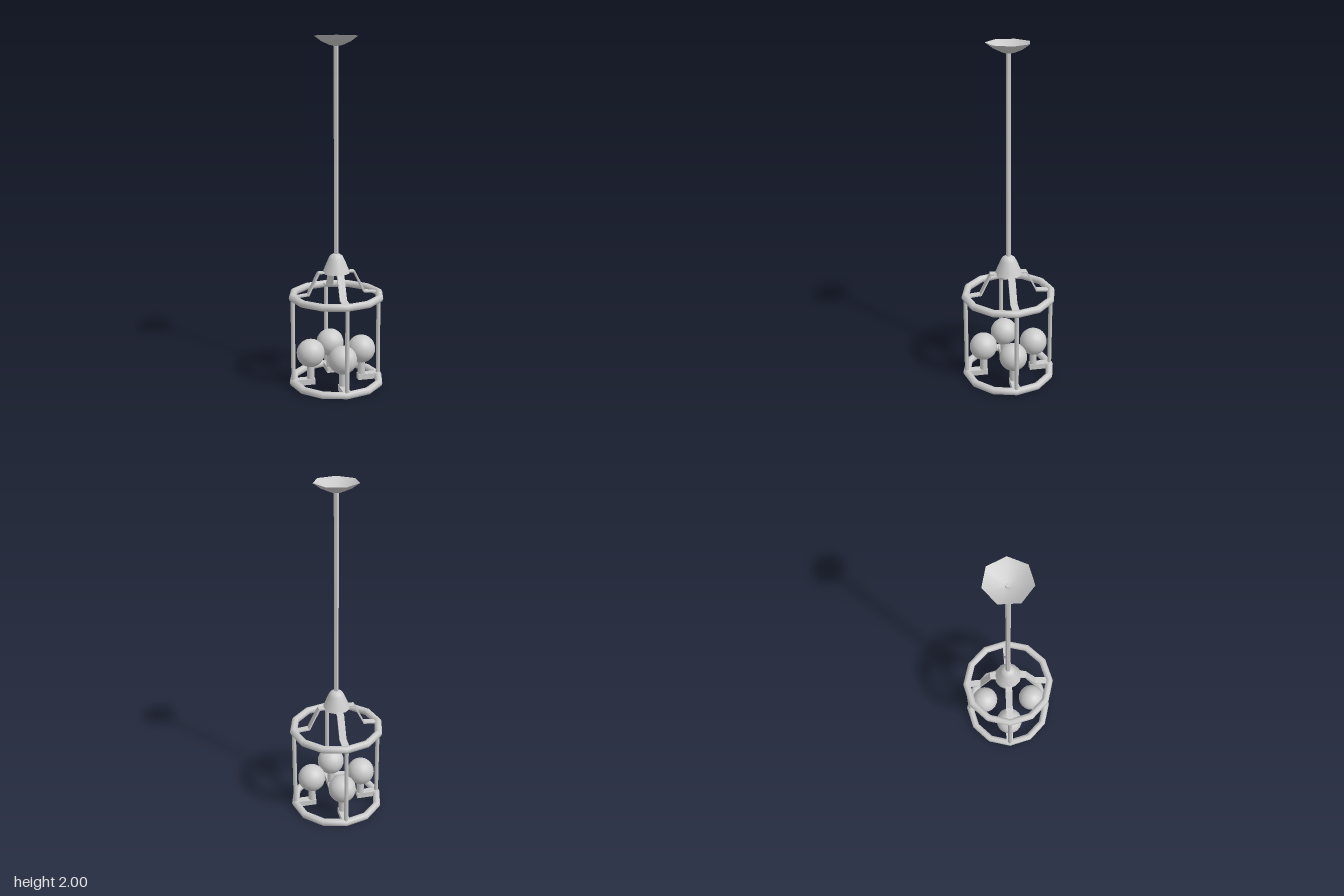
import * as THREE from 'three';

const metal = new THREE.MeshStandardMaterial({ color: 0xcccccc });
const metalFlat = new THREE.MeshStandardMaterial({ color: 0xcccccc, flatShading: true });
const metalThin = new THREE.MeshStandardMaterial({ color: 0xcccccc, side: THREE.DoubleSide });

function part(name, geometry, material, x = 0, y = 0, z = 0) {
  const mesh = new THREE.Mesh(geometry, material);
  mesh.name = name;
  mesh.position.set(x, y, z);
  return mesh;
}

const points = (pairs) => pairs.map(([x, y]) => new THREE.Vector2(x, y));

// Bent metal strap: a side outline extruded across its width
function strapGeometry(width) {
  const outline = points([
    [0.05, 0.678], [0.108, 0.678], [0.17, 0.553], [0.25, 0.545],
    [0.25, 0.537], [0.163, 0.545], [0.102, 0.67], [0.05, 0.67],
  ]);
  const geometry = new THREE.ExtrudeGeometry(new THREE.Shape(outline), { depth: width, bevelEnabled: false });
  return geometry.translate(0, 0, -width / 2);
}

export function createModel() {
  const model = new THREE.Group();
  model.name = 'pendantLamp';

  // Seven-sided ceiling bowl, open on top
  const bowl = points([[0.001, 1.941], [0.04, 1.951], [0.083, 1.97], [0.125, 2]]);
  model.add(part('ceilingCanopy', new THREE.LatheGeometry(bowl, 7, Math.PI / 2), metalThin));

  // Hanging stem
  model.add(part('stem', new THREE.CylinderGeometry(0.014, 0.014, 1.19, 6), metalFlat, 0, 1.36, 0));

  // Bell cap with a closed underside
  const bell = points([[0.08, 0.67], [0.062, 0.715], [0.046, 0.752], [0.036, 0.77], [0.02, 0.78], [0.001, 0.785]]);
  model.add(part('bellCap', new THREE.LatheGeometry(bell, 12), metal));
  const underside = new THREE.CircleGeometry(0.08, 12).rotateX(Math.PI / 2);
  model.add(part('bellCapUnderside', underside, metal, 0, 0.67, 0));

  // Twelve-sided cage rings
  const ring = new THREE.TorusGeometry(0.257, 0.022, 8, 12).rotateX(Math.PI / 2);
  model.add(part('topRing', ring, metal, 0, 0.535, 0));
  model.add(part('bottomRing', ring, metal, 0, 0.025, 0));

  // Four identical quarters: strap, upright, bracket, socket and bulb
  const strap = strapGeometry(0.041);
  const upright = new THREE.CylinderGeometry(0.0125, 0.0125, 0.51, 8);
  const bracket = new THREE.BoxGeometry(0.12, 0.034, 0.045);
  const socket = new THREE.CylinderGeometry(0.023, 0.023, 0.1, 8);
  const bulb = new THREE.SphereGeometry(0.082, 20, 14);
  for (let i = 0; i < 4; i++) {
    const quarter = new THREE.Group();
    quarter.name = `lampArm${i + 1}`;
    quarter.add(
      part('strap', strap, metal),
      part('upright', upright, metal, 0.256, 0.28, 0),
      part('bracket', bracket, metal, 0.19, 0.027, 0),
      part('socket', socket, metal, 0.153, 0.085, 0),
      part('bulb', bulb, metal, 0.153, 0.197, 0),
    );
    quarter.rotation.y = (i * Math.PI) / 2;
    model.add(quarter);
  }
  return model;
}
